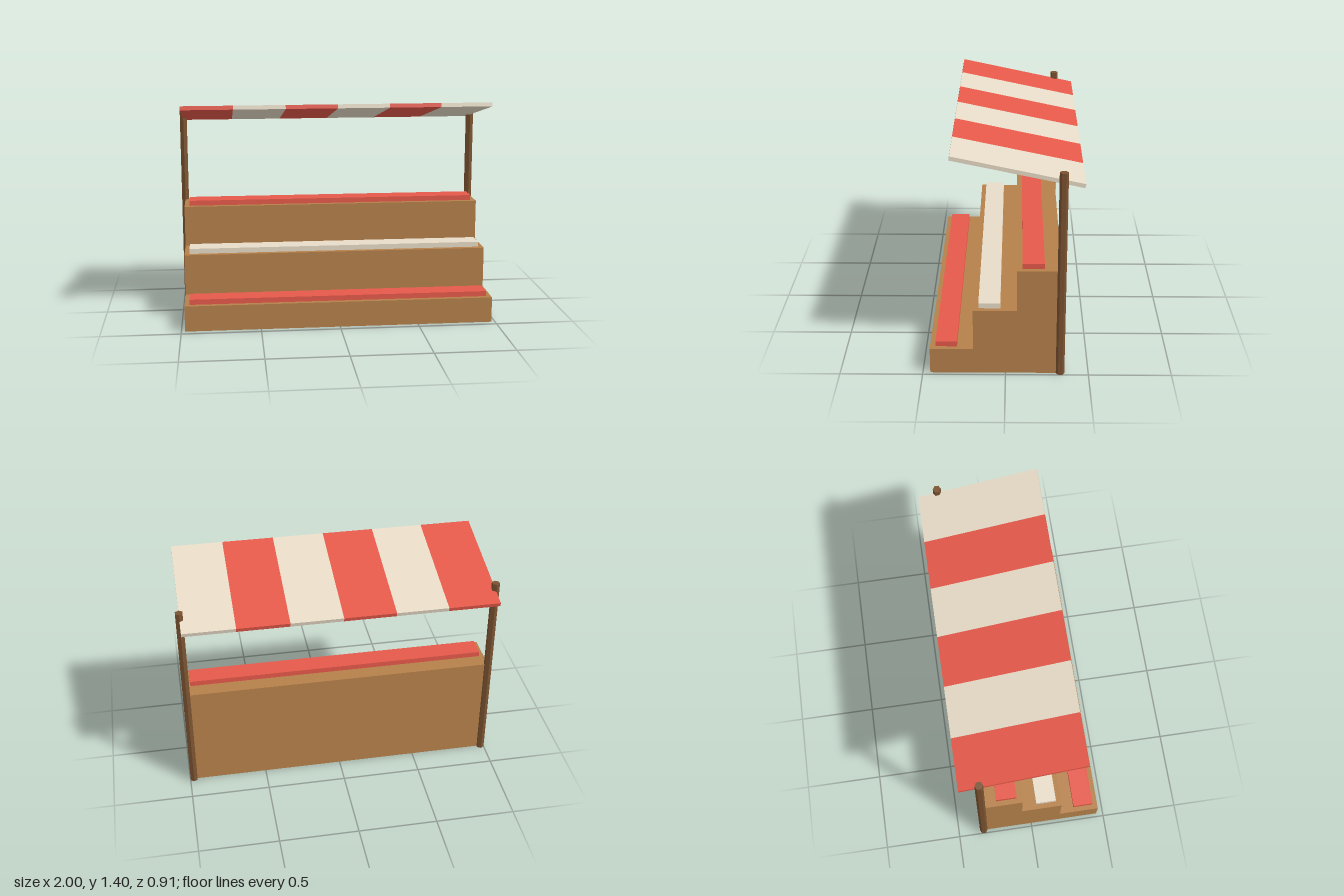
import * as THREE from 'three';

const mat = (name, color) => {
  const m = new THREE.MeshStandardMaterial({ color });
  m.name = name;
  return m;
};

export function createModel() {
  const wood = mat('wood', 0xb5804a);
  const darkWood = mat('darkWood', 0x7a5230);
  const red = mat('red', 0xe5594a);
  const cream = mat('cream', 0xe8dcc8);

  const group = new THREE.Group();
  group.name = 'coveredBleachers';
  const add = (name, geometry, material, parent = group) => {
    const mesh = new THREE.Mesh(geometry, material);
    mesh.name = name;
    parent.add(mesh);
    return mesh;
  };

  const halfWidth = 0.977;
  const front = 0.455, depth = 0.261;
  const tops = [0.163, 0.424, 0.685];

  // Stepped stand: side profile (u = -z, y) extruded along x
  const profile = new THREE.Shape();
  profile.moveTo(-front, 0);
  tops.forEach((y, i) => {
    profile.lineTo(-front + i * depth, y);
    profile.lineTo(-front + (i + 1) * depth, y);
  });
  profile.lineTo(-front + tops.length * depth, 0);
  profile.closePath();
  const stand = new THREE.ExtrudeGeometry(profile, { depth: 2 * halfWidth, bevelEnabled: false });
  stand.translate(0, 0, -halfWidth).rotateY(Math.PI / 2);
  add('steppedStand', stand, wood);

  // Seat board on each step
  tops.forEach((y, i) => {
    const seat = add('seat' + (i + 1), new THREE.BoxGeometry(1.89, 0.033, 0.13), i % 2 ? cream : red);
    seat.position.set(0, y + 0.0165, front - i * depth - 0.098);
  });

  // Six-sided posts at the back corners
  for (const side of [-1, 1]) {
    const geometry = new THREE.CylinderGeometry(0.026, 0.026, 1.305, 6).toNonIndexed();
    geometry.computeVertexNormals();
    const post = add(side > 0 ? 'leftPost' : 'rightPost', geometry, darkWood);
    post.position.set(side * halfWidth, 1.305 / 2, -0.33);
  }

  // Striped canopy, high at the front and sloping down to the back
  const canopy = new THREE.Group();
  canopy.name = 'canopy';
  canopy.position.set(0, 1.304, -0.068);
  canopy.rotation.x = -0.21;
  group.add(canopy);
  const stripes = 6, w = (2 * halfWidth) / stripes;
  for (let i = 0; i < stripes; i++) {
    const stripe = add('canopyStripe' + (i + 1), new THREE.BoxGeometry(w, 0.025, 0.785), i % 2 ? cream : red, canopy);
    stripe.position.x = -halfWidth + (i + 0.5) * w;
  }

  return group;
}
